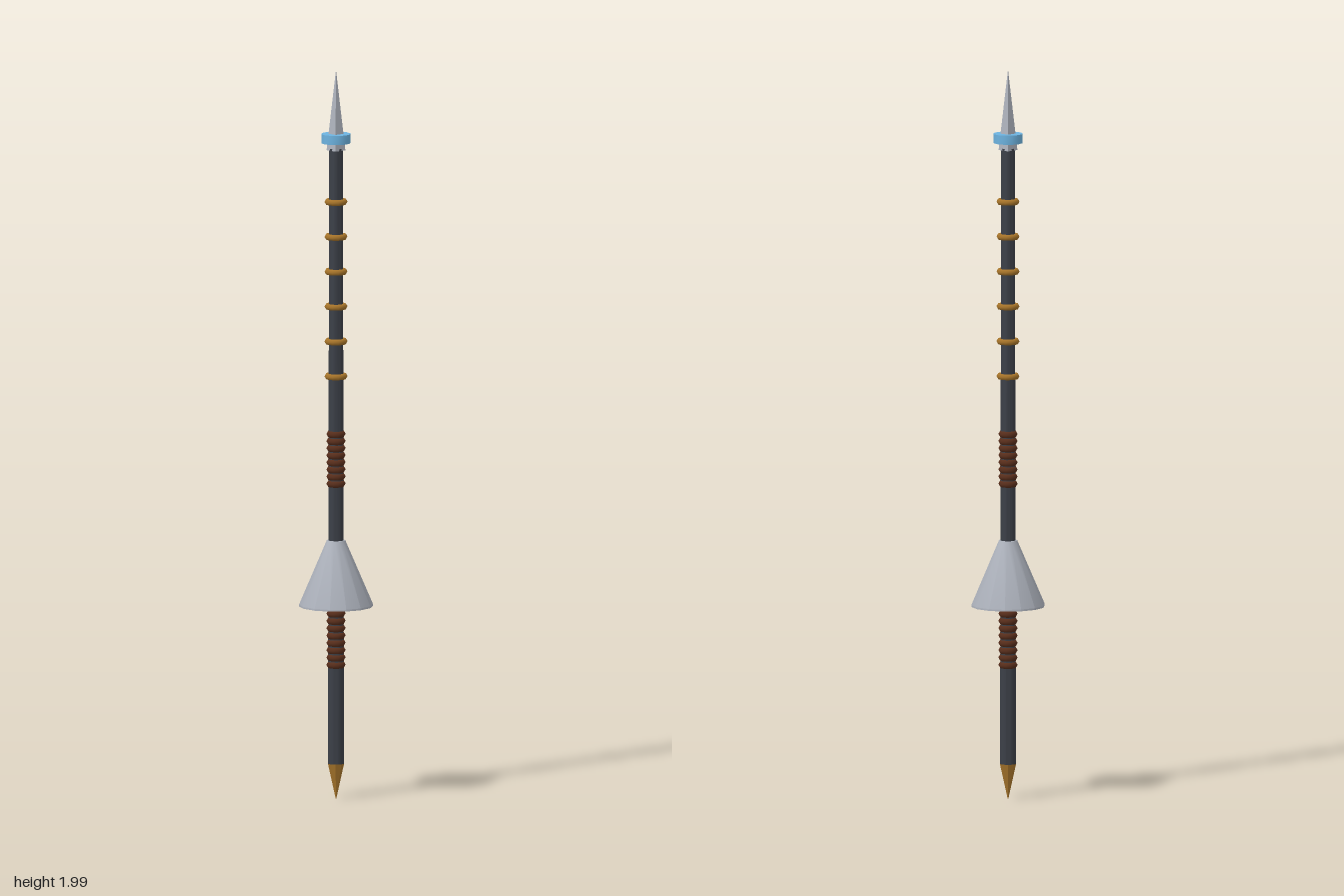
import * as THREE from 'three';
import { toCreasedNormals } from 'three/addons/utils/BufferGeometryUtils.js';

export function createModel() {
  const model = new THREE.Group();
  const mat = (color) => new THREE.MeshStandardMaterial({ color });
  const steel = mat(0xaeb3bd), dark = mat(0x3c4048), leather = mat(0x5a2f1c);
  const gold = mat(0xa8752a), blue = mat(0x6db3e0);

  const add = (name, geometry, material, y = 0, parent = model) => {
    const mesh = new THREE.Mesh(geometry, material);
    mesh.name = name;
    mesh.position.y = y;
    parent.add(mesh);
    return mesh;
  };
  // Cylinder or cone spanning y0..y1
  const rod = (name, rBottom, rTop, y0, y1, sides, material) =>
    add(name, toCreasedNormals(new THREE.CylinderGeometry(rTop, rBottom, y1 - y0, sides), 0.7),
      material, (y0 + y1) / 2);
  const ring = (radius, tube, sides) =>
    new THREE.TorusGeometry(radius, tube, 6, sides).rotateX(Math.PI / 2);

  // Shaft, slightly thicker toward the butt
  rod('shaft', 0.022, 0.019, 0.1, 1.78, 12, dark);
  rod('buttSpike', 0.001, 0.022, 0.005, 0.1, 8, gold);

  // Four-sided point, faces square to the axes
  const point = new THREE.ConeGeometry(0.0255, 0.22, 4).rotateY(Math.PI / 4);
  add('spearPoint', toCreasedNormals(point, 0.3), steel, 1.885);
  rod('collar', 0.04, 0.04, 1.795, 1.82, 12, blue);

  // Decorative bands along the upper shaft
  const bands = new THREE.Group();
  bands.name = 'shaftBands';
  model.add(bands);
  for (let i = 0; i < 6; i++) add('band', ring(0.023, 0.0085, 12), gold, 1.158 + i * 0.0953, bands);

  // Leather-wrapped grips made of stacked coils
  for (const [name, y0, y1] of [['lowerGrip', 0.36, 0.54], ['upperGrip', 0.855, 1.01]]) {
    const grip = new THREE.Group();
    grip.name = name;
    model.add(grip);
    const n = Math.round((y1 - y0) / 0.02), pitch = (y1 - y0) / n;
    for (let i = 0; i < n; i++) add('coil', ring(0.0165, 0.0098, 12), leather, y0 + (i + 0.5) * pitch, grip);
  }

  // Conical hand guard with a thin rim and shallow recess underneath
  const profile = [[0.015, 0.54], [0.092, 0.54], [0.096, 0.53], [0.1, 0.53], [0.1, 0.535], [0.025, 0.71], [0.015, 0.71]]
    .map(([x, y]) => new THREE.Vector2(x, y));
  const guard = new THREE.LatheGeometry(profile, 14, Math.PI / 2);
  add('handGuard', toCreasedNormals(guard, 0.5), steel);

  return model;
}
